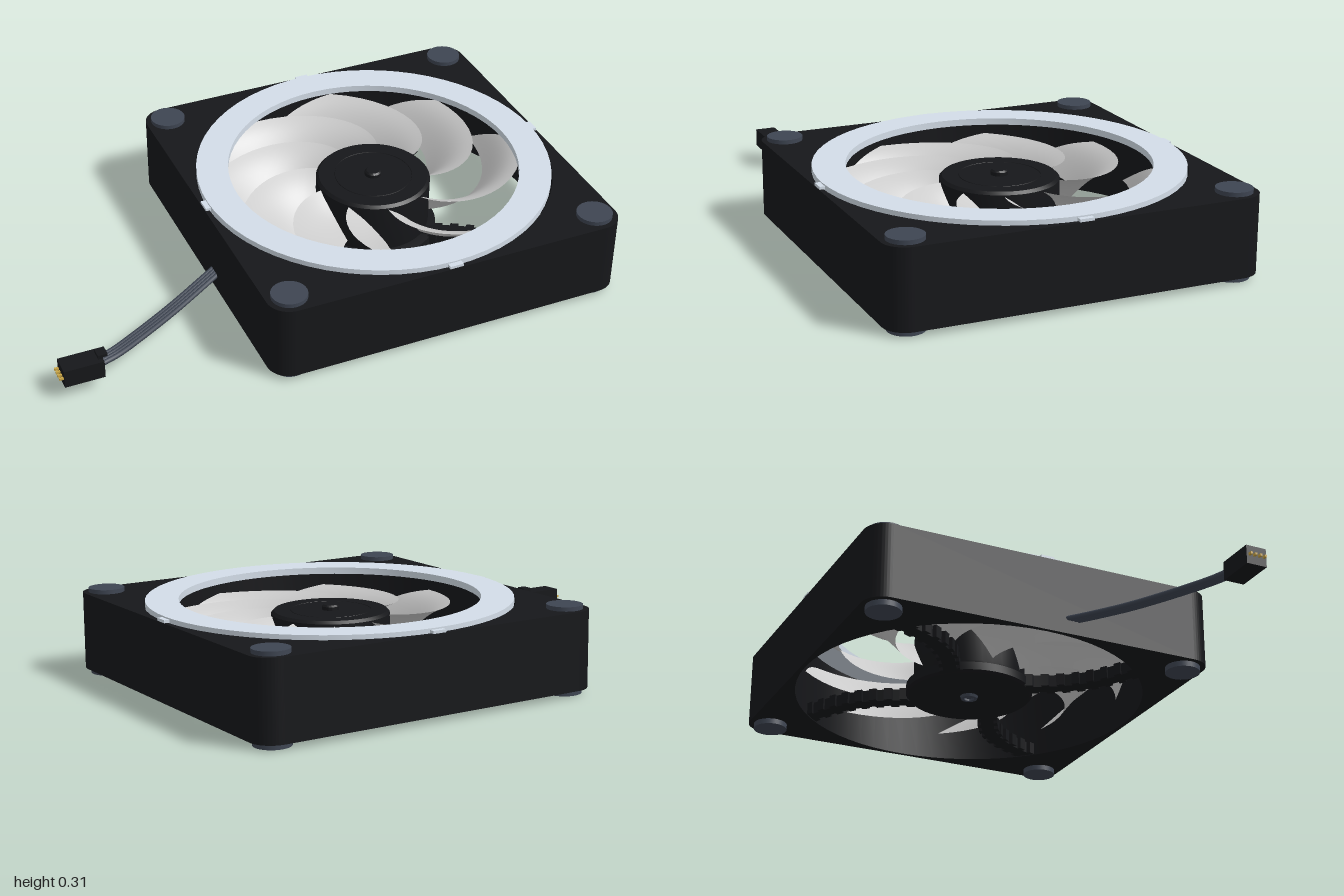
import * as THREE from 'three';
import { toCreasedNormals } from 'three/addons/utils/BufferGeometryUtils.js';

const mat = (color, side = THREE.FrontSide) => new THREE.MeshStandardMaterial({ color, side });

export function createModel() {
  const root = new THREE.Group();
  const black = mat(0x16171a), rubber = mat(0x3e4552), light = mat(0xd3dde8);
  const white = mat(0xf4f4f4, THREE.DoubleSide), gold = mat(0xc9a545);

  const fan = new THREE.Group();
  fan.name = 'fan';
  fan.position.x = 0.34;
  root.add(fan);

  const add = (parent, name, geo, material, x = 0, y = 0, z = 0) => {
    const m = new THREE.Mesh(geo, material);
    m.name = name;
    m.position.set(x, y, z);
    parent.add(m);
    return m;
  };
  // Extrude a plan outline upwards
  const slab = (shape, depth) => toCreasedNormals(
    new THREE.ExtrudeGeometry(shape, { depth, bevelEnabled: false, curveSegments: 32 }).rotateX(-Math.PI / 2), 0.6);
  const lathe = (pts, seg = 64) => toCreasedNormals(
    new THREE.LatheGeometry(pts.map(p => new THREE.Vector2(p[0], p[1])), seg), 0.6);
  const circle = (r) => new THREE.Path().absarc(0, 0, r, 0, Math.PI * 2, true);

  // Square housing with rounded corners and a round duct
  const h = 0.66, c = 0.08;
  const plan = new THREE.Shape();
  plan.absarc(h - c, h - c, c, 0, Math.PI / 2);
  plan.absarc(c - h, h - c, c, Math.PI / 2, Math.PI);
  plan.absarc(c - h, c - h, c, Math.PI, Math.PI * 1.5);
  plan.absarc(h - c, c - h, c, Math.PI * 1.5, Math.PI * 2);
  plan.closePath();
  plan.holes.push(circle(0.645));
  add(fan, 'housing', slab(plan, 0.275), black, 0, 0.02);

  // Rubber corner pads, top and bottom
  const pad = new THREE.CylinderGeometry(0.063, 0.063, 0.025, 32);
  for (const sx of [-1, 1]) for (const sz of [-1, 1]) {
    add(fan, 'topPad', pad, rubber, sx * 0.578, 0.2975, sz * 0.578);
    add(fan, 'bottomPad', pad, rubber, sx * 0.578, 0.0125, sz * 0.578);
  }

  // Light ring with four locating tabs
  const ring = new THREE.Shape().absarc(0, 0, 0.64, 0, Math.PI * 2);
  ring.holes.push(circle(0.525));
  add(fan, 'lightRing', slab(ring, 0.024), light, 0, 0.286);
  for (let i = 0; i < 4; i++) {
    const a = i * Math.PI / 2;
    const tab = add(fan, 'ringTab', new THREE.BoxGeometry(0.03, 0.02, 0.05), light,
      0.643 * Math.cos(a), 0.295, -0.643 * Math.sin(a));
    tab.rotation.y = a;
  }

  // Rotor hub with a shallow groove and a centre button
  add(fan, 'hub', lathe([[0, 0.07], [0.205, 0.07], [0.207, 0.08], [0.207, 0.25], [0.197, 0.26], [0.142, 0.26],
    [0.141, 0.258], [0.139, 0.258], [0.138, 0.26], [0.03, 0.26], [0.03, 0.272], [0.024, 0.278], [0, 0.278]]), black);

  // Swept, cambered blades, wide at the root and flatter at the tip
  const blade = new THREE.PlaneGeometry(1, 1, 10, 16);
  const p = blade.attributes.position;
  for (let i = 0; i < p.count; i++) {
    const s = 0.5 - p.getX(i), t = p.getY(i) + 0.5;
    const r = 0.2 + 0.41 * t;
    const chord = 40 - 13 * t;
    const a = THREE.MathUtils.degToRad(54 * Math.pow(t, 1.6) + chord * (s - 0.5));
    const y = 0.17 + (0.15 - 0.03 * t) * (0.5 - s) + 0.02 * Math.sin(Math.PI * s);
    p.setXYZ(i, r * Math.cos(a), y, -r * Math.sin(a));
  }
  blade.computeVertexNormals();
  for (let i = 0; i < 9; i++) {
    add(fan, 'blade', blade, white).rotation.y = THREE.MathUtils.degToRad(160 + 40 * i);
  }

  // Motor mount with bearing boss underneath
  add(fan, 'motorMount', lathe([[0, 0.022], [0.225, 0.022], [0.235, 0.03],
    [0.235, 0.06], [0.2, 0.066], [0, 0.066]]), black);
  add(fan, 'bearingBoss', lathe([[0, 0.02], [0.018, 0.02], [0.018, 0.012], [0.03, 0.012], [0.034, 0.024]], 32), rubber);

  // Bowed struts with stepped edges
  const left = [], right = [], steps = 16;
  for (let i = 0; i < steps; i++) {
    const w = i % 2 ? 0.04 : 0.026;
    for (const k of [i, i + 1]) {
      const t = k / steps, x = 0.2 + 0.447 * t, bow = 0.055 * Math.sin(Math.PI * t);
      left.push(new THREE.Vector2(x, bow + w));
      right.push(new THREE.Vector2(x, bow - w));
    }
  }
  const strut = slab(new THREE.Shape([...right, ...left.reverse()]), 0.045);
  for (let i = 0; i < 4; i++) {
    add(fan, 'strut', strut, black, 0, 0.023).rotation.y = Math.PI / 4 + i * Math.PI / 2;
  }

  // Flat cable made of parallel wires
  const cable = new THREE.Group();
  cable.name = 'cable';
  root.add(cable);
  for (let i = 0; i < 4; i++) {
    const o = (i - 1.5) * 0.0115, ox = o * 0.5, oz = o * 0.86;
    const path = new THREE.CatmullRomCurve3([
      [-0.3, 0.08, 0.085], [-0.4, 0.073, 0.145], [-0.52, 0.07, 0.22], [-0.68, 0.077, 0.32],
      [-0.79, 0.085, 0.385], [-0.87, 0.09, 0.417],
    ].map(([x, y, z]) => new THREE.Vector3(x + ox, y, z + oz)));
    add(cable, 'wire', new THREE.TubeGeometry(path, 32, 0.009, 8), rubber);
  }

  // Plug with latch and pins
  const plug = new THREE.Group();
  plug.name = 'plug';
  plug.position.set(-0.915, 0.088, 0.418);
  root.add(plug);
  add(plug, 'plugBody', new THREE.BoxGeometry(0.14, 0.066, 0.075), black);
  add(plug, 'latchPost', new THREE.BoxGeometry(0.016, 0.02, 0.04), black, 0.062, 0.036);
  add(plug, 'latchLip', new THREE.BoxGeometry(0.034, 0.01, 0.04), black, 0.07, 0.043);
  for (let i = 0; i < 4; i++) {
    add(plug, 'pin', new THREE.BoxGeometry(0.025, 0.008, 0.008), gold, -0.0725, 0, (i - 1.5) * 0.018);
  }
  return root;
}
